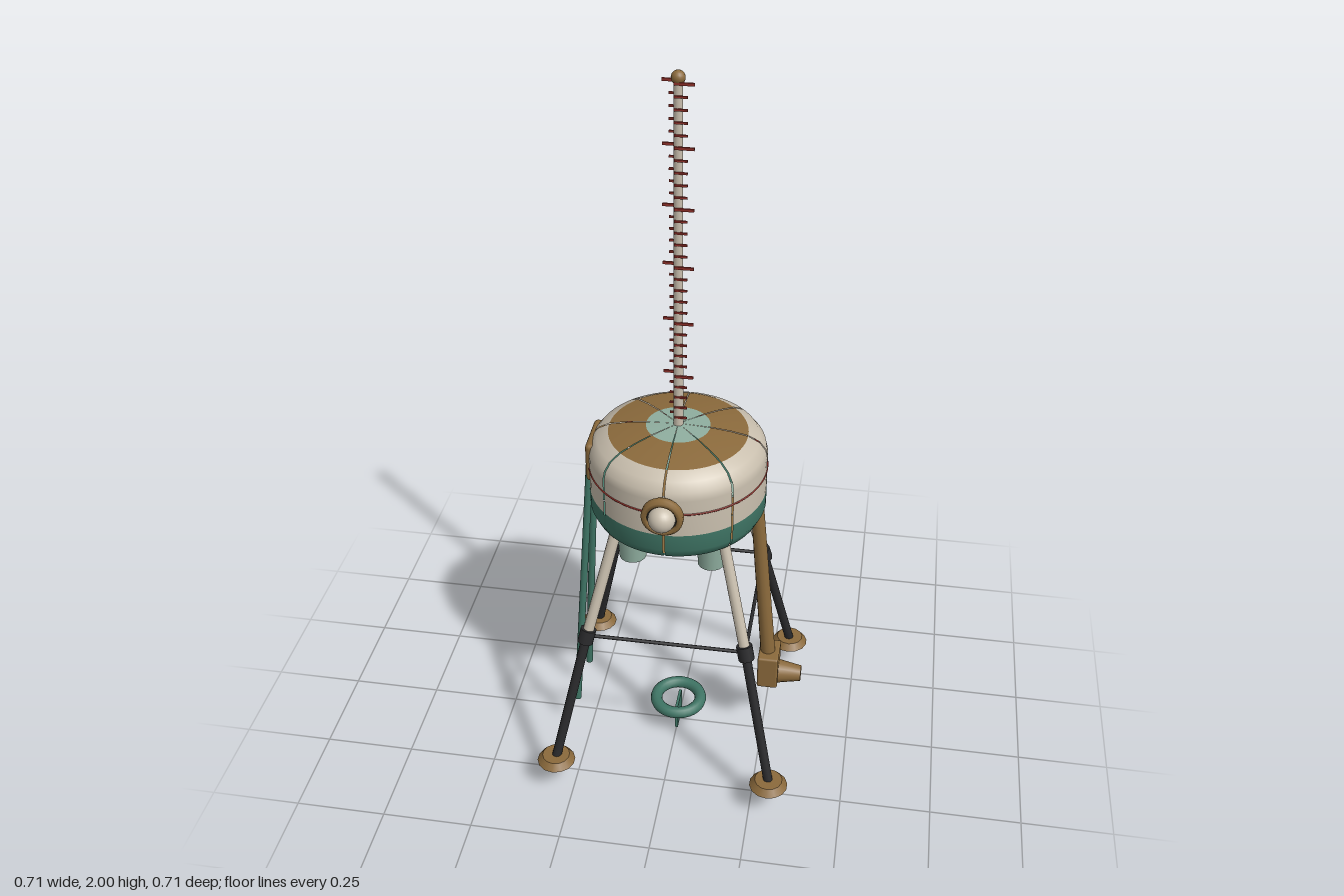
import * as THREE from 'three';
import { RoundedBoxGeometry } from 'three/addons/geometries/RoundedBoxGeometry.js';

const mat = (name, color, side = THREE.FrontSide) => {
  const m = new THREE.MeshStandardMaterial({ color, side });
  m.name = name;
  return m;
};

export function createModel() {
  const model = new THREE.Group();
  model.name = 'lander';
  const D = THREE.DoubleSide;
  const white = mat('offWhite', 0xc9bfae, D);
  const brown = mat('bronze', 0x8b6a3c, D);
  const teal = mat('teal', 0x3f7565, D);
  const pale = mat('paleTeal', 0x8fae9f, D);
  const dark = mat('darkMetal', 0x2a2a2c);
  const red = mat('red', 0x8e2f28);

  const add = (name, geo, material, x = 0, y = 0, z = 0, parent = model) => {
    const m = new THREE.Mesh(geo, material);
    m.name = name;
    m.position.set(x, y, z);
    parent.add(m);
    return m;
  };
  const V = (x, y, z) => new THREE.Vector3(x, y, z);
  // Round rod between two points
  const rod = (name, a, b, ra, rb, material, seg = 12) => {
    const m = add(name, new THREE.CylinderGeometry(rb, ra, a.distanceTo(b), seg), material);
    m.position.copy(a).lerp(b, 0.5);
    m.quaternion.setFromUnitVectors(V(0, 1, 0), b.clone().sub(a).normalize());
    return m;
  };

  // Hull: eight shell sectors with narrow open seams
  const zones = [
    ['hullFloor', brown, [[0, 0.776], [0.19, 0.776]]],
    ['hullSkirt', teal, [[0.19, 0.776], [0.222, 0.793], [0.235, 0.82], [0.235, 0.868]]],
    ['hullWall', white, [[0.235, 0.868], [0.235, 0.975], [0.23, 0.997], [0.213, 1.02], [0.183, 1.036]]],
    ['roofBand', brown, [[0.183, 1.036], [0.135, 1.046], [0.084, 1.052]]],
    ['roofCap', pale, [[0.084, 1.052], [0, 1.056]]],
  ];
  const hull = new THREE.Group();
  hull.name = 'hull';
  model.add(hull);
  const gap = 0.02;
  for (let i = 0; i < 8; i++) {
    for (const [name, material, pts] of zones) {
      const profile = pts.map(([r, y]) => new THREE.Vector2(r, y));
      const start = i * Math.PI / 4 + gap / 2;
      add(name, new THREE.LatheGeometry(profile, 8, start, Math.PI / 4 - gap), material, 0, 0, 0, hull);
    }
  }
  add('hullBand', new THREE.TorusGeometry(0.2345, 0.003, 6, 64), red, 0, 0.935, 0, hull).rotation.x = Math.PI / 2;

  // Front porthole
  add('portholeBase', new THREE.CylinderGeometry(0.04, 0.04, 0.03, 24), white, 0, 0.94, 0.232).rotation.x = Math.PI / 2;
  const ringProfile = [[0.038, -0.013], [0.05, -0.013], [0.054, -0.007], [0.054, 0.006], [0.048, 0.013], [0.038, 0.013], [0.038, -0.013]];
  add('portholeRing', new THREE.LatheGeometry(ringProfile.map(p => new THREE.Vector2(...p)), 28), brown, 0, 0.94, 0.252).rotation.x = Math.PI / 2;
  add('portholeGasket', new THREE.CylinderGeometry(0.039, 0.039, 0.02, 24), dark, 0, 0.94, 0.25).rotation.x = Math.PI / 2;
  add('portholeDome', new THREE.SphereGeometry(0.035, 24, 16), white, 0, 0.94, 0.262);

  // Side hatch with its two hanging rails
  add('hatch', new RoundedBoxGeometry(0.03, 0.115, 0.135, 3, 0.012), brown, -0.222, 0.948, 0);
  for (const s of [-1, 1])
    rod('rail', V(-0.285, 0.118, s * 0.08), V(-0.233, 0.92, s * 0.033), 0.01, 0.01, teal);

  // Tool arm
  rod('toolArm', V(0.26, 0.29, 0), V(0.212, 0.83, 0), 0.021, 0.018, brown);
  add('toolHousing', new RoundedBoxGeometry(0.058, 0.106, 0.092, 2, 0.006), brown, 0.263, 0.259, 0);
  add('toolNozzle', new THREE.CylinderGeometry(0.022, 0.034, 0.066, 14), brown, 0.323, 0.234, 0).rotation.z = -Math.PI / 2;

  // Legs, feet and engines at the four corners
  for (const sx of [-1, 1]) {
    for (const sz of [-1, 1]) {
      const P = (d, y) => V(sx * d, y, sz * d);
      rod('upperLeg', P(0.216, 0.487), P(0.137, 0.82), 0.015, 0.015, white);
      rod('lowerLeg', P(0.299, 0.1), P(0.216, 0.487), 0.013, 0.013, dark);
      rod('knee', P(0.2205, 0.467), P(0.2115, 0.507), 0.022, 0.022, dark, 10);
      add('footPad', new THREE.CylinderGeometry(0.038, 0.053, 0.019, 14), brown, sx * 0.3, 0.0965, sz * 0.3);
      add('engine', new THREE.CylinderGeometry(0.041, 0.036, 0.09, 16), pale, sx * 0.106, 0.738, sz * 0.106);
    }
    rod('sideBrace', V(sx * 0.216, 0.487, -0.216), V(sx * 0.216, 0.487, 0.216), 0.005, 0.005, dark, 8);
    rod('crossBrace', V(-0.216, 0.487, sx * 0.216), V(0.216, 0.487, sx * 0.216), 0.005, 0.005, dark, 8);
  }

  // Mast with staggered rungs and a ball tip
  rod('mast', V(0, 1.04, 0), V(0, 1.975, 0), 0.013, 0.011, white);
  add('mastTip', new THREE.SphereGeometry(0.017, 16, 12), brown, 0, 1.983, 0);
  for (let i = 0; i < 30; i++) {
    const major = i % 5 === 4;
    const reach = major ? 0.04 : 0.024;
    const length = reach + 0.008;
    const y = 1.082 + i * 0.0307;
    for (const s of [-1, 1])
      add('rung', new THREE.BoxGeometry(length, major ? 0.007 : 0.005, 0.005), red, s * (reach - length / 2), y, s * 0.012);
  }

  // Ground anchor: ring on a thin fin
  add('anchorRing', new THREE.TorusGeometry(0.065, 0.017, 12, 32), teal, 0, 0.086, 0).rotation.x = Math.PI / 2;
  add('anchorFin', new THREE.BoxGeometry(0.008, 0.08, 0.075), teal, 0, 0.04, 0);

  return model;
}
